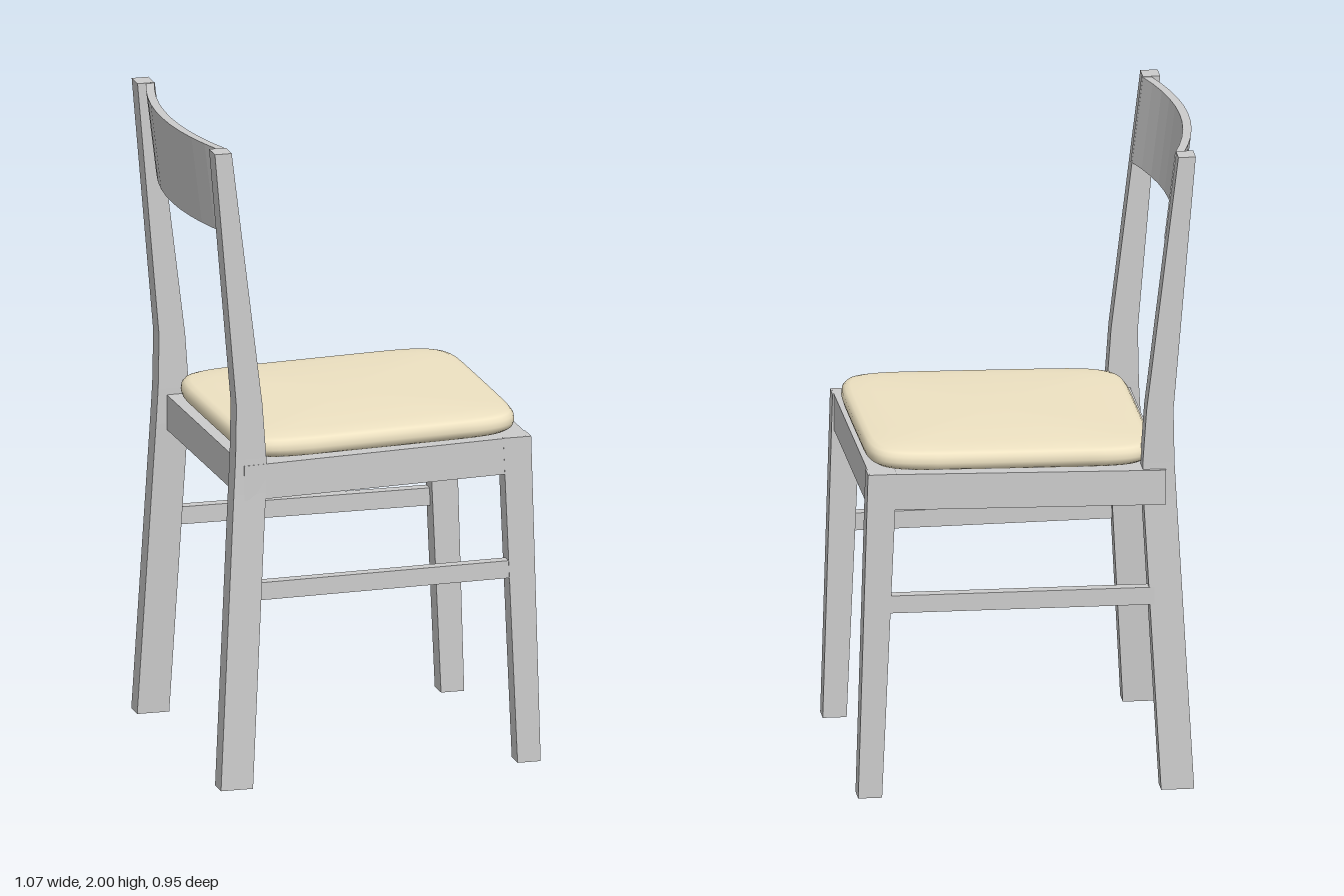
import * as THREE from 'three';

const grey = new THREE.MeshStandardMaterial({ color: 0xcccccc, flatShading: true });
const fabric = new THREE.MeshStandardMaterial({ color: 0xeee2c2 });

// Skins a stack of rings with flat faces and closes both ends.
// Corners run counter-clockwise as seen from the end the stack grows towards.
function loft(name, rings) {
  const pos = [];
  const tri = (a, b, c) => pos.push(...a, ...b, ...c);
  const n = rings[0].length;
  for (let i = 0; i + 1 < rings.length; i++) {
    for (let j = 0; j < n; j++) {
      const k = (j + 1) % n;
      tri(rings[i][j], rings[i][k], rings[i + 1][k]);
      tri(rings[i][j], rings[i + 1][k], rings[i + 1][j]);
    }
  }
  const first = rings[0], last = rings[rings.length - 1];
  for (let j = 1; j + 1 < n; j++) {
    tri(first[0], first[j + 1], first[j]);
    tri(last[0], last[j], last[j + 1]);
  }
  const geo = new THREE.BufferGeometry();
  geo.setAttribute('position', new THREE.Float32BufferAttribute(pos, 3));
  geo.computeVertexNormals();
  const mesh = new THREE.Mesh(geo, grey);
  mesh.name = name;
  return mesh;
}

// Rectangular ring at height y
const rect = (y, x0, x1, z0, z1) => [[x0, y, z1], [x1, y, z1], [x1, y, z0], [x0, y, z0]];

// Horizontal slab from a plan outline; bottom and top heights may slope with x
const slab = (name, plan, bottom, top) =>
  loft(name, [bottom, top].map(h => plan.map(([x, z]) => [x, h(x), z])));

// Domed seat pad: rounded-square rings that shrink towards the crown
function makeCushion() {
  const rings = [[0, 0], [0.96, 0], [0.99, 0.01], [1, 0.025], [0.995, 0.042], [0.975, 0.054],
    [0.94, 0.06], [0.8, 0.066], [0.5, 0.071], [0.25, 0.073], [0, 0.073]];
  const seg = 64, pos = [], idx = [];
  const soft = v => Math.sign(v) * Math.abs(v) ** 0.27;
  rings.forEach(([s, h], i) => {
    for (let j = 0; j < seg; j++) {
      const a = (j / seg) * Math.PI * 2;
      const u = 0.44 * s * soft(Math.cos(a)), w = -0.42 * s * soft(Math.sin(a));
      const x = 0.05 + u + 0.013 * w;
      pos.push(x, 1.0205 + 0.02 * x + h, -0.01 + w - 0.013 * u);
      if (i + 1 < rings.length) {
        const p = i * seg + j, q = i * seg + (j + 1) % seg;
        idx.push(p, q, q + seg, p, q + seg, p + seg);
      }
    }
  });
  const geo = new THREE.BufferGeometry();
  geo.setAttribute('position', new THREE.Float32BufferAttribute(pos, 3));
  geo.setIndex(idx);
  geo.computeVertexNormals();
  const mesh = new THREE.Mesh(geo, fabric);
  mesh.name = 'seatCushion';
  return mesh;
}

export function createModel() {
  const chair = new THREE.Group();
  chair.name = 'chair';

  for (const side of [1, -1]) {
    const label = side > 0 ? 'PlusZ' : 'MinusZ';
    const dx = side > 0 ? 0 : -0.011;

    // Back leg and post in one piece: [height, rear x, front x, inner z, outer z]
    const profile = [
      [0, -0.488, -0.387, 0.41, 0.476],
      [0.92, -0.438, -0.337, 0.377, 0.443],
      [1.03, -0.432, -0.335, 0.375, 0.441],
      [1.2, -0.429, -0.347, 0.375, 0.44],
      [2, -0.497, -0.444, 0.375, 0.44],
    ];
    chair.add(loft('backLeg' + label, profile.map(([y, xr, xf, zi, zo]) =>
      rect(y, xr + dx, xf + dx, Math.min(side * zi, side * zo), Math.max(side * zi, side * zo)))));

    // Front leg, raked forward
    const [z0, z1] = side > 0 ? [0.358, 0.423] : [-0.453, -0.383];
    chair.add(loft('frontLeg' + label, [
      rect(0, 0.463 + dx, 0.536 + dx, z0, z1),
      rect(1.028, 0.418 + dx, 0.506 + dx, z0, z1),
    ]));

    // Side stretcher
    const [back, front] = side > 0 ? [0.449, 0.42] : [-0.42, -0.413];
    chair.add(slab('sideStretcher' + label,
      [[-0.38, back], [0.46, front], [0.46, front - 0.036], [-0.38, back - 0.036]],
      () => 0.585, () => 0.64));
  }

  // Seat frame, rising slightly to the front
  chair.add(slab('seatFrame',
    [[-0.405, 0.444], [0.502, 0.42], [0.49, -0.45], [-0.416, -0.453]],
    x => 0.907 + 0.016 * x, x => 1.0185 + 0.02 * x));

  // Bowed, leaning backrest between the posts
  const slices = [];
  for (let i = 0; i <= 10; i++) {
    const z = -0.385 + 0.077 * i;
    const x = -0.473 - 0.065 * (1 - (z / 0.385) ** 2) + 0.013 * z;
    slices.push([[x + 0.033, 1.727, z], [x + 0.06, 1.727, z], [x + 0.027, 1.998, z], [x, 1.998, z]]);
  }
  chair.add(loft('backrest', slices));

  chair.add(makeCushion());
  return chair;
}
